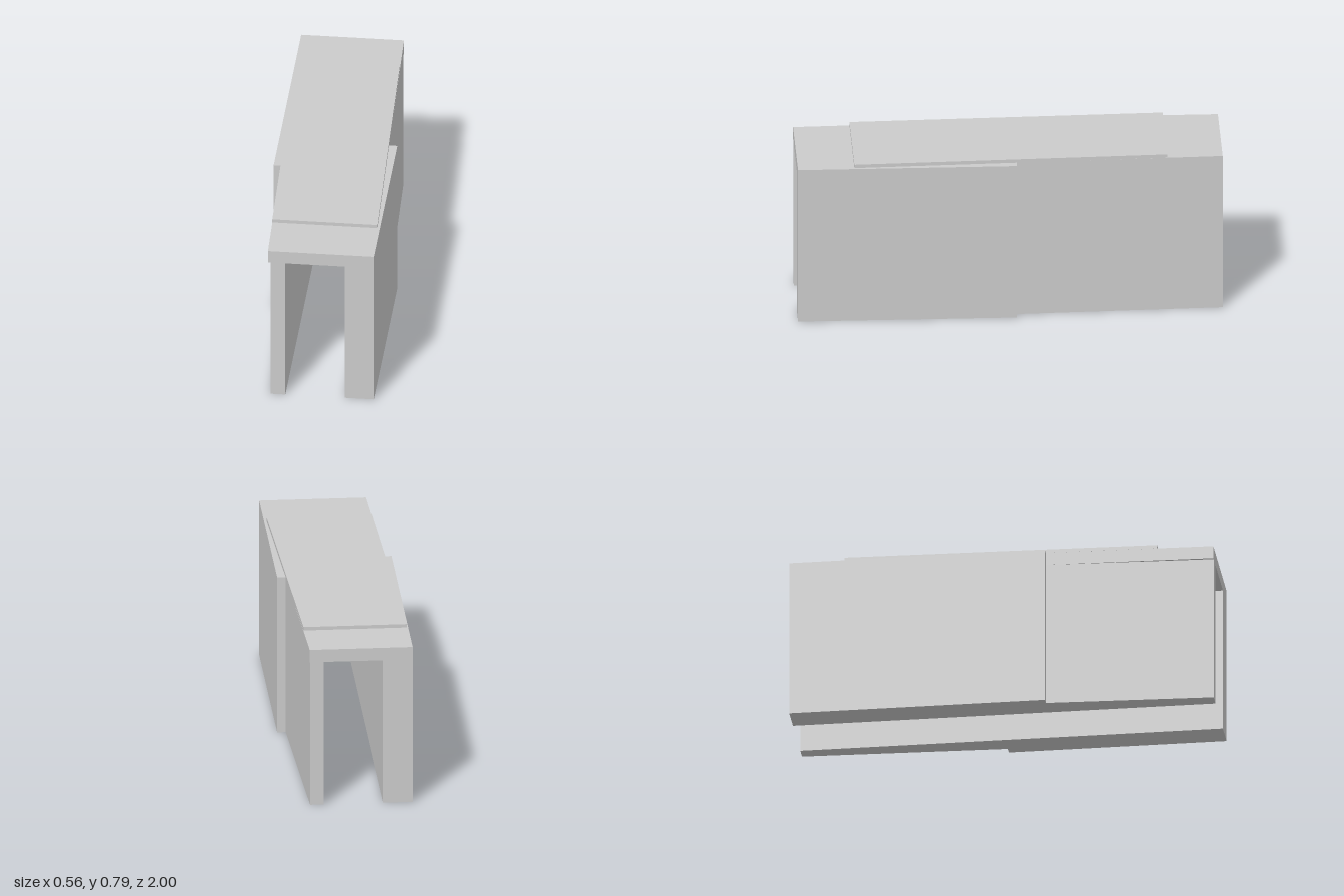
import * as THREE from 'three';

const material = new THREE.MeshStandardMaterial({ color: 0xcccccc, flatShading: true });

// Upright prism from a plan outline of [x, z] points, between two heights
function prism(name, plan, y0, y1) {
  const shape = new THREE.Shape(plan.map(([x, z]) => new THREE.Vector2(x, -z)));
  const geometry = new THREE.ExtrudeGeometry(shape, { depth: y1 - y0, bevelEnabled: false });
  geometry.rotateX(-Math.PI / 2).translate(0, y0, 0);
  const mesh = new THREE.Mesh(geometry, material);
  mesh.name = name;
  return mesh;
}

export function createModel() {
  const group = new THREE.Group();
  group.name = 'steppedChannel';
  const inner = 0.14, outer = 0.28;
  const wallTop = 0.715, deckTop = 0.777, slabTop = 0.794;
  const leftStep = -0.03, rightStep = 0.21; // z where each outer face steps

  // Outer edges: straight thick half, then a step and a tapering half
  const posXEdge = end => [[outer, 1], [outer, leftStep], [0.24, leftStep], [end, -1]];
  const negXEdge = end => [[-outer, -1], [-outer, rightStep], [-0.245, rightStep], [end, 1]];

  // Side walls with straight inner faces
  group.add(prism('leftWall', [...posXEdge(0.205), [inner, -1], [inner, 1]], 0, wallTop));
  group.add(prism('rightWall', [...negXEdge(-0.21), [-inner, 1], [-inner, -1]], 0, wallTop));

  // Deck closing the channel, overhanging the tapered wall slightly
  group.add(prism('deck', [...posXEdge(0.207), ...negXEdge(-0.222)], wallTop, deckTop));

  // Thin skewed slab on top of the deck
  group.add(prism('topSlab',
    [[0.268, 0.735], [0.215, -0.74], [-0.273, -0.74], [-0.23, 0.735]], deckTop, slabTop));

  return group;
}
